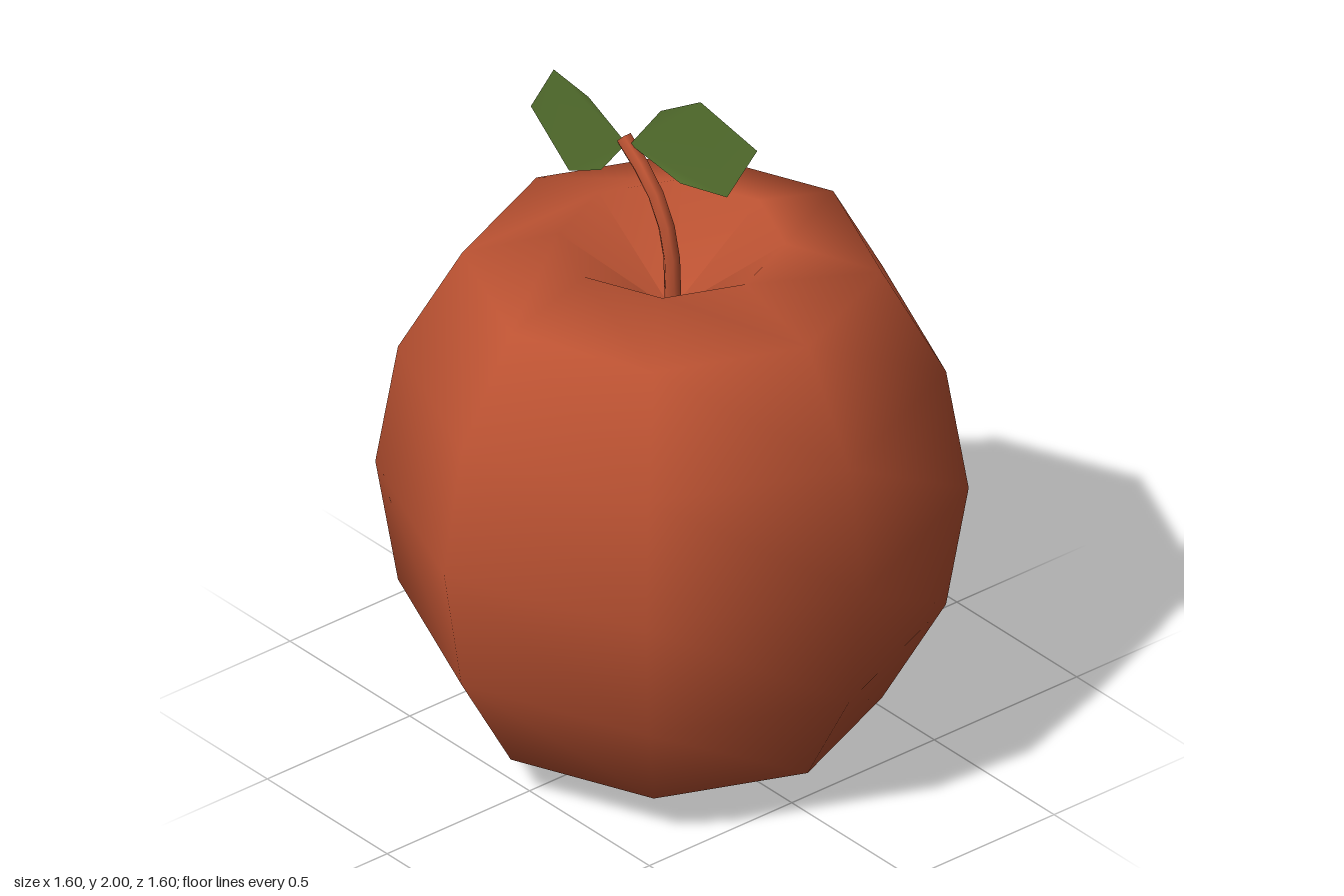
import * as THREE from 'three';

export function createModel() {
  const model = new THREE.Group();
  const red = new THREE.MeshStandardMaterial({ color: 0xbb5232 });
  red.name = 'apple red';
  const green = new THREE.MeshStandardMaterial({ color: 0x56722f, side: THREE.DoubleSide });
  green.name = 'leaf green';

  const add = (name, geometry, material) => {
    const mesh = new THREE.Mesh(geometry, material);
    mesh.name = name;
    model.add(mesh);
    return mesh;
  };

  // Eight-sided fruit, deeply dimpled on top and lightly underneath
  const profile = [
    [0, 0.1], [0.306, 0], [0.566, 0.125], [0.739, 0.43], [0.8, 0.8],
    [0.739, 1.165], [0.566, 1.47], [0.306, 1.545], [0, 1.32],
  ].map(([r, y]) => new THREE.Vector2(r, y));
  add('fruit', new THREE.LatheGeometry(profile, 8), red);

  // Curved stem rising out of the dimple, with a closed tip
  const radius = 0.024;
  const path = new THREE.CatmullRomCurve3([
    [0, 1.3], [-0.015, 1.53], [-0.085, 1.665], [-0.205, 1.765],
  ].map(([x, y]) => new THREE.Vector3(x, y, -0.004)));
  add('stem', new THREE.TubeGeometry(path, 6, radius, 6), red);
  const tip = add('stemTip', new THREE.CircleGeometry(radius, 6), red);
  tip.position.copy(path.getPoint(1));
  tip.quaternion.setFromUnitVectors(new THREE.Vector3(0, 0, 1), path.getTangent(1));

  // Thin leaves: flat outlines that bend backwards towards the tip
  const addLeaf = (name, outline) => {
    const shape = new THREE.Shape(outline.map(([x, y]) => new THREE.Vector2(x, y)));
    const geometry = new THREE.ShapeGeometry(shape);
    const base = outline[0][0];
    const length = Math.max(...outline.map(([x]) => Math.abs(x - base)));
    const pos = geometry.attributes.position;
    for (let i = 0; i < pos.count; i++) {
      const t = Math.abs(pos.getX(i) - base) / length;
      pos.setZ(i, -0.072 * Math.pow(t, 1.4));
    }
    geometry.computeVertexNormals();
    add(name, geometry, green);
  };
  addLeaf('leftLeaf', [
    [-0.175, 1.76], [0.01, 1.715], [0.17, 1.735], [0.27, 1.92], [0.08, 2], [-0.06, 1.915],
  ]);
  addLeaf('rightLeaf', [
    [-0.19, 1.755], [-0.37, 1.81], [-0.55, 1.8], [-0.675, 1.615], [-0.47, 1.525], [-0.31, 1.61],
  ]);

  return model;
}
